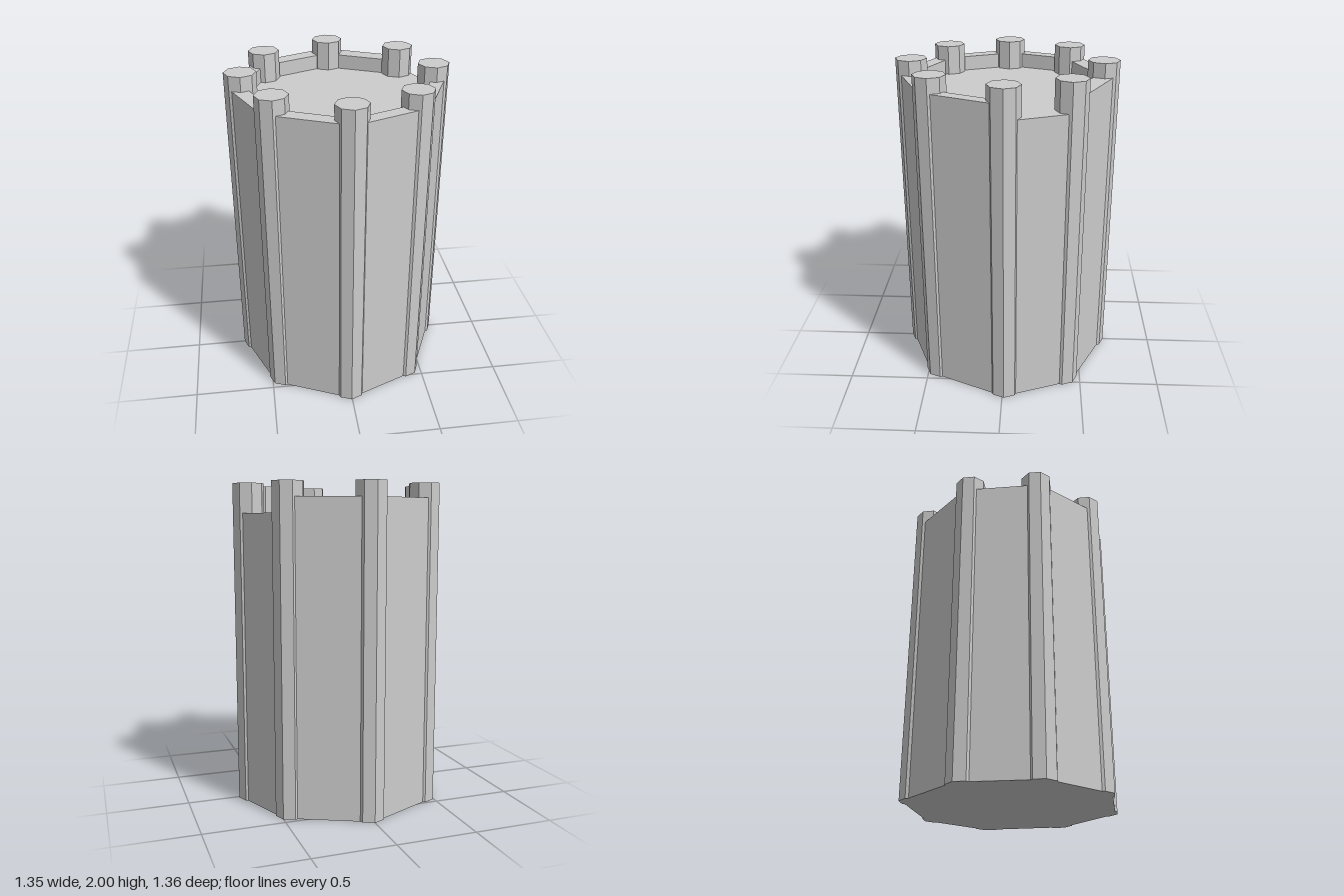
import * as THREE from 'three';

const FLOOR = 1.82, WALL = 1.91, TOP = 2;
const OUTER = 0.077; // wall face distance outside the line joining two columns

// Column centres [x, z], going round from the back
const columns = [
  [0, -0.587], [0.432, -0.383], [0.579, -0.011], [0.388, 0.417],
  [-0.004, 0.58], [-0.42, 0.393], [-0.581, 0.002], [-0.425, -0.394],
];
// Inner face offset of the wall that follows each column
const innerOffset = [-0.032, 0, 0, -0.01, -0.015, -0.015, -0.005, -0.025];
const GAP = 1; // this wall stops at floor level

export function createModel() {
  const group = new THREE.Group();
  const stone = new THREE.MeshStandardMaterial({ color: 0xcccccc, flatShading: true });
  stone.name = 'grey stone';

  const add = (name, geometry) => {
    const mesh = new THREE.Mesh(geometry, stone);
    mesh.name = name;
    group.add(mesh);
    return mesh;
  };

  // Upright prism from plan points [x, z]
  const prism = (points, height) => {
    const shape = new THREE.Shape(points.map(([x, z]) => new THREE.Vector2(x, -z)));
    const geometry = new THREE.ExtrudeGeometry(shape, { depth: height, bevelEnabled: false });
    return geometry.rotateX(-Math.PI / 2);
  };

  // Solid core whose top is the platform floor
  add('towerCore', prism(columns, FLOOR));

  columns.forEach((a, i) => {
    // Eight-sided column
    add('column' + (i + 1), new THREE.CylinderGeometry(0.097, 0.097, TOP, 8))
      .position.set(a[0], TOP / 2, a[1]);

    // Wall panel to the next column, with its raised parapet
    const b = columns[(i + 1) % columns.length];
    const dx = b[0] - a[0], dz = b[1] - a[1], length = Math.hypot(dx, dz);
    const nx = dz / length, nz = -dx / length;
    const shift = (p, d) => [p[0] + nx * d, p[1] + nz * d];
    const inner = innerOffset[i];
    add('wall' + (i + 1), prism(
      [shift(a, inner), shift(a, OUTER), shift(b, OUTER), shift(b, inner)],
      i === GAP ? FLOOR : WALL));
  });

  return group;
}
